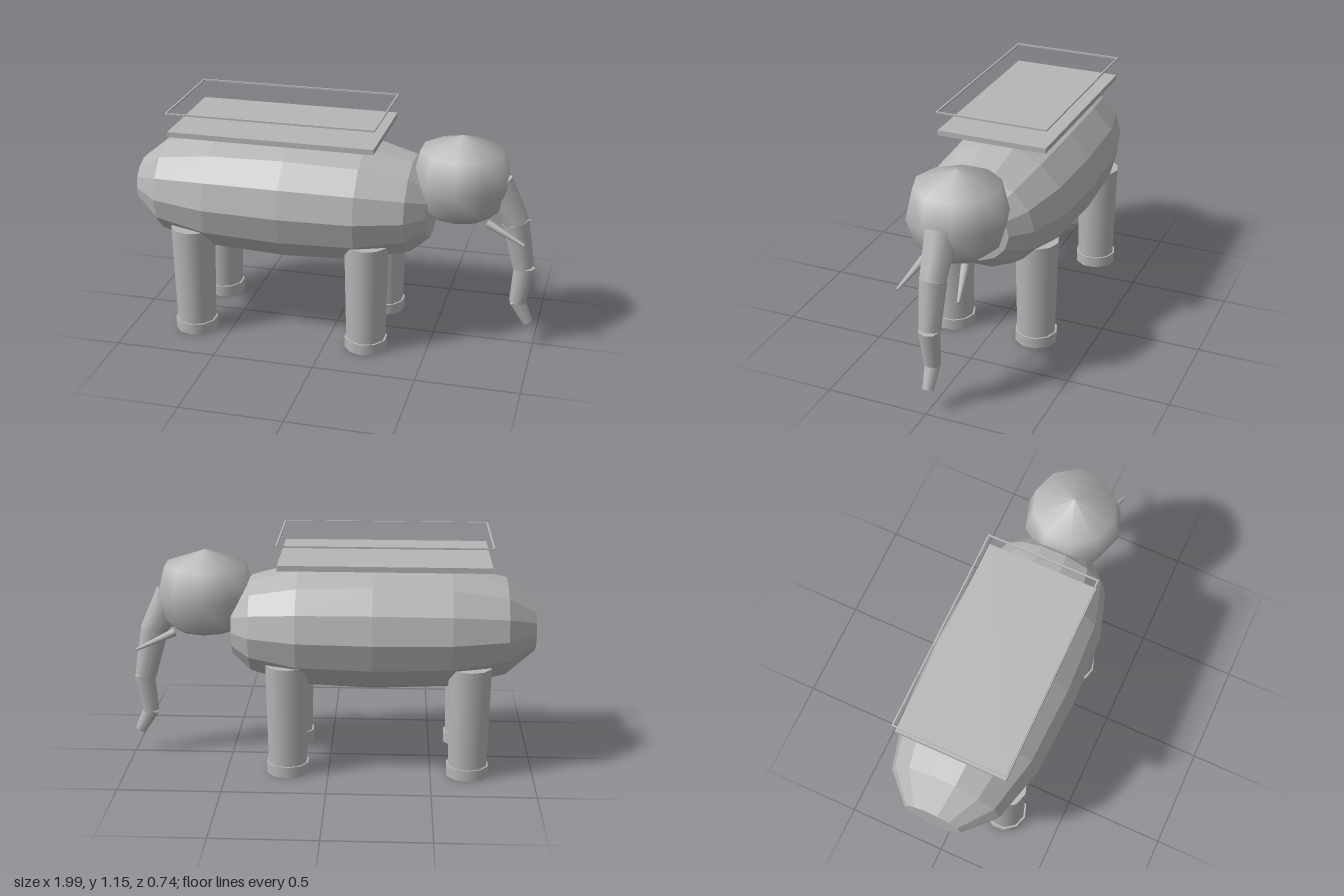
import * as THREE from 'three';

const grey = new THREE.MeshStandardMaterial({ color: 0xb6b6b6 });
grey.name = 'stone grey';

const V = (x, y, z) => new THREE.Vector3(x, y, z);

function part(name, geometry, x = 0, y = 0, z = 0) {
  const mesh = new THREE.Mesh(geometry, grey);
  mesh.name = name;
  mesh.position.set(x, y, z);
  return mesh;
}

// Tapered cylinder running from point a to point b
function taper(name, a, b, rA, rB, sides) {
  const dir = b.clone().sub(a);
  const mesh = part(name, new THREE.CylinderGeometry(rB, rA, dir.length(), sides));
  mesh.position.copy(a).addScaledVector(dir, 0.5);
  mesh.quaternion.setFromUnitVectors(V(0, 1, 0), dir.normalize());
  return mesh;
}

// Faceted barrel lying along x, with flat ends
function bodyGeometry() {
  const profile = [
    [0, -1], [0.143, -1], [0.28, -0.86], [0.352, -0.59], [0.37, -0.21],
    [0.352, 0.155], [0.28, 0.385], [0.19, 0.475], [0, 0.475],
  ].map(([r, x]) => new THREE.Vector2(r, x));
  const lathe = new THREE.LatheGeometry(profile, 14);
  lathe.rotateZ(-Math.PI / 2);
  lathe.scale(1, 0.313 / 0.37, 1);
  const faceted = lathe.toNonIndexed();
  faceted.computeVertexNormals();
  return faceted;
}

// Round head with a shallow pointed crown
function headGeometry() {
  const profile = [
    [0.001, -0.21], [0.15, -0.183], [0.2, -0.14], [0.24, -0.01], [0.204, 0.14], [0.001, 0.213],
  ].map(([r, y]) => new THREE.Vector2(r, y));
  return new THREE.LatheGeometry(profile, 10);
}

export function createModel() {
  const model = new THREE.Group();
  model.name = 'elephant';

  model.add(part('body', bodyGeometry(), 0, 0.695, 0));
  model.add(part('head', headGeometry(), 0.614, 0.852, 0));

  // Legs and feet
  for (const [end, x] of [['front', 0.2], ['rear', -0.68]]) {
    for (const [side, s] of [['Left', 1], ['Right', -1]]) {
      const z = 0.222 * s;
      model.add(part(`${end}${side}Leg`, new THREE.CylinderGeometry(0.108, 0.097, 0.505, 10), x, 0.3025, z));
      model.add(part(`${end}${side}Foot`, new THREE.CylinderGeometry(0.106, 0.106, 0.055, 10), x, 0.0275, z));
    }
  }

  // Jointed trunk
  const trunk = new THREE.Group();
  trunk.name = 'trunk';
  [
    [[0.785, 0.838], [0.888, 0.64], 0.081, 0.065],
    [[0.88, 0.648], [0.932, 0.414], 0.068, 0.054],
    [[0.938, 0.417], [0.913, 0.224], 0.052, 0.041],
    [[0.91, 0.229], [0.97, 0.116], 0.04, 0.028],
  ].forEach(([a, b, rA, rB], i) => {
    trunk.add(taper(`trunkSegment${i + 1}`, V(...a, 0), V(...b, 0), rA, rB, 8));
  });
  model.add(trunk);

  // Tusks
  for (const [side, s] of [['left', 1], ['right', -1]]) {
    model.add(taper(`${side}Tusk`, V(0.76, 0.67, 0.1 * s), V(0.945, 0.592, 0.149 * s), 0.021, 0.007, 8));
  }

  // Platform above the back
  model.add(part('platform', new THREE.BoxGeometry(1.01, 0.026, 0.55), -0.265, 1.042, 0));

  // Thin rail floating above the platform
  const rail = new THREE.Group();
  rail.name = 'rail';
  const t = 0.008;
  for (const s of [1, -1]) {
    rail.add(part('longRail', new THREE.BoxGeometry(1.02, t, t), -0.265, 1.147, 0.276 * s));
    rail.add(part('shortRail', new THREE.BoxGeometry(t, t, 0.544), -0.265 + 0.506 * s, 1.147, 0));
  }
  model.add(rail);

  return model;
}
